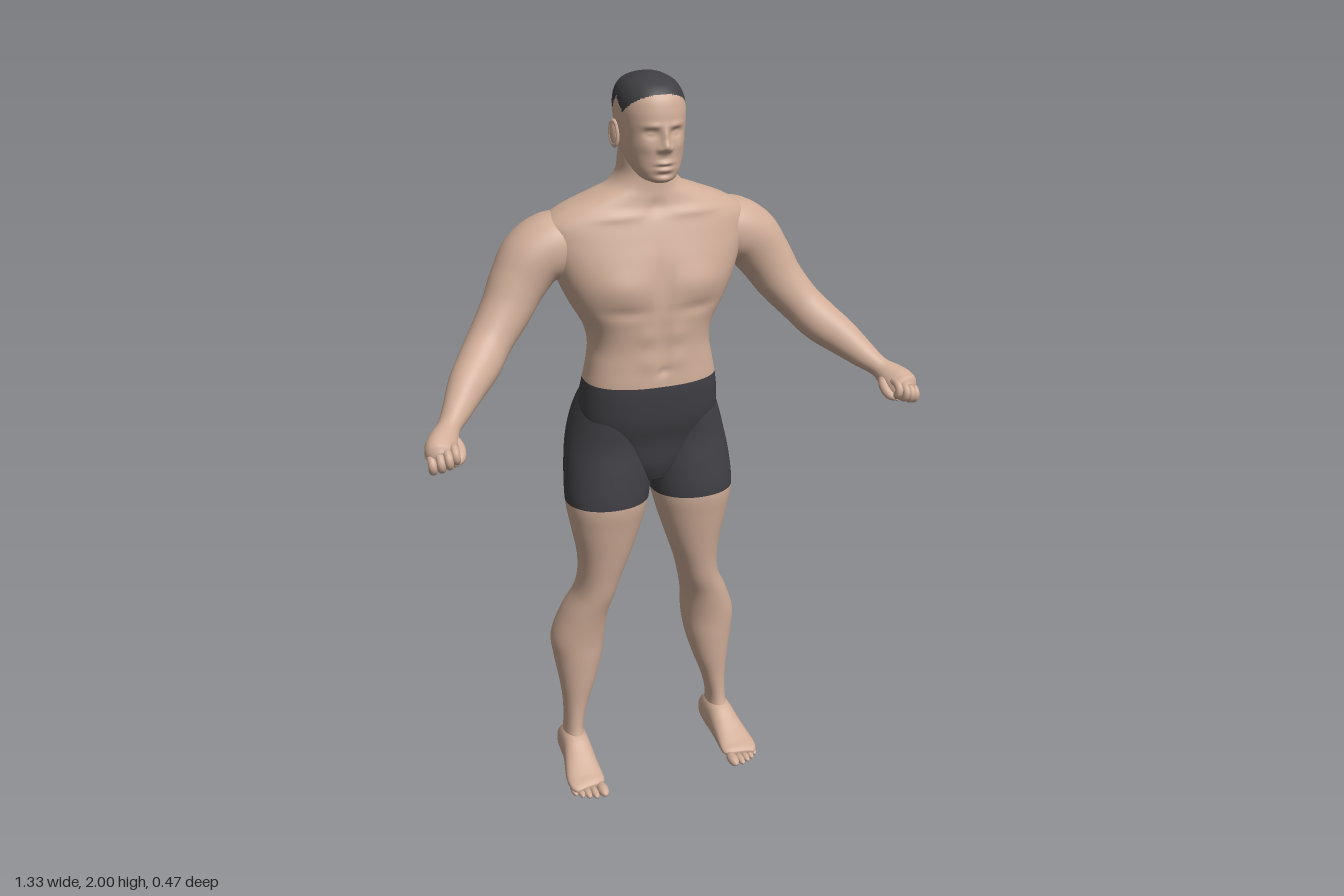
import * as THREE from 'three';

const mat = (name, color) => Object.assign(new THREE.MeshStandardMaterial({ color }), { name });
const SKIN = mat('skin', 0xd0ad98);
const SHORTS = mat('shorts fabric', 0x404045);
const HAIR = mat('hair', 0x3f3f43);

// Smoothly fills in the rows between the given ones (Catmull-Rom on every number)
function refine(rows, per) {
  const out = [];
  const at = i => rows[Math.min(Math.max(i, 0), rows.length - 1)];
  for (let i = 0; i < rows.length - 1; i++) {
    for (let k = 0; k < per; k++) {
      const t = k / per;
      out.push(rows[i].map((b, m) => {
        const a = at(i - 1)[m], c = at(i + 1)[m], d = at(i + 2)[m];
        return b + 0.5 * t * (c - a + t * (2 * a - 5 * b + 4 * c - d + t * (3 * (b - c) + d - a)));
      }));
    }
  }
  out.push(rows[rows.length - 1]);
  return out;
}

// Closed skin over rings {c, u, v, ru, rv}; p rounds the section, warp(point, s) moves points
function loft(rings, n, p, warp) {
  const pos = [], idx = [];
  const pow = x => Math.sign(x) * Math.abs(x) ** (2 / p);
  for (const r of rings) {
    for (let j = 0; j < n; j++) {
      const a = (j / n) * Math.PI * 2, s = Math.sin(a);
      const q = r.c.clone().addScaledVector(r.u, r.ru * pow(Math.cos(a))).addScaledVector(r.v, r.rv * pow(s));
      if (warp) warp(q, s);
      pos.push(q.x, q.y, q.z);
    }
  }
  const last = rings.length - 1, foot = rings.length * n;
  pos.push(...rings[0].c.toArray(), ...rings[last].c.toArray());
  for (let j = 0; j < n; j++) idx.push(foot, j, (j + 1) % n);
  for (let i = 0; i < last; i++) {
    for (let j = 0; j < n; j++) {
      const a = i * n + j, b = i * n + (j + 1) % n;
      idx.push(a, a + n, b, b, a + n, b + n);
    }
  }
  for (let j = 0; j < n; j++) idx.push(foot + 1, last * n + (j + 1) % n, last * n + j);
  const g = new THREE.BufferGeometry();
  g.setAttribute('position', new THREE.Float32BufferAttribute(pos, 3));
  g.setIndex(idx);
  g.computeVertexNormals();
  return g;
}

// Upright form from rows [y, xMin, xMax, zBack, zFront]
function column(rows, per, n, p, warp) {
  const u = new THREE.Vector3(1, 0, 0), v = new THREE.Vector3(0, 0, 1);
  return loft(refine(rows, per).map(([y, x0, x1, z0, z1]) => ({
    c: new THREE.Vector3((x0 + x1) / 2, y, (z0 + z1) / 2), u, v, ru: (x1 - x0) / 2, rv: (z1 - z0) / 2,
  })), n, p, warp);
}

// Form along a bent path from rows [x, y, z, ru, rv]
function limb(rows, per, n, p, ref, warp) {
  const pts = refine(rows, per);
  const c = pts.map(r => new THREE.Vector3(r[0], r[1], r[2]));
  return loft(pts.map((r, i) => {
    const t = c[Math.min(i + 1, c.length - 1)].clone().sub(c[Math.max(i - 1, 0)]).normalize();
    const v = ref.clone().addScaledVector(t, -ref.dot(t)).normalize();
    return { c: c[i], u: t.clone().cross(v), v, ru: r[3], rv: r[4] };
  }), n, p, warp);
}

// Soft mounds and hollows [x, y, sizeX, sizeY, height], same on both sides
const relief = (front, back) => (q, s) => {
  const sum = list => list.reduce((h, [x, y, sx, sy, a]) =>
    h + a * Math.exp(-(((Math.abs(q.x) - x) / sx) ** 2) - ((q.y - y) / sy) ** 2), 0);
  q.z += s > 0 ? s * sum(front) : s * sum(back);
};

// Sorts the triangles into two material groups by the position of their middle
function paint(g, test) {
  const P = g.attributes.position, I = g.index.array, sets = [[], []];
  for (let i = 0; i < I.length; i += 3) {
    const f = [I[i], I[i + 1], I[i + 2]];
    const mid = k => (P[k](f[0]) + P[k](f[1]) + P[k](f[2])) / 3;
    sets[test(mid('getY'), mid('getZ')) ? 1 : 0].push(...f);
  }
  g.setIndex([...sets[0], ...sets[1]]);
  g.addGroup(0, sets[0].length, 0);
  g.addGroup(sets[0].length, sets[1].length, 1);
  return g;
}

function mirrored(g) {
  const m = g.clone().scale(-1, 1, 1), I = m.index.array;
  for (let i = 0; i < I.length; i += 3) [I[i], I[i + 1]] = [I[i + 1], I[i]];
  return m;
}

// Hairline height along the side of the head, [z, y] from back to front
const HAIRLINE = [[-0.19, 1.842], [-0.142, 1.865], [-0.137, 1.932], [-0.1, 1.91], [-0.075, 1.945], [-0.03, 1.912], [0.03, 1.958], [0.1, 1.965]];
function hairline(z) {
  const i = Math.max(1, HAIRLINE.findIndex(h => h[0] > z));
  const [a, b] = [HAIRLINE[i - 1], HAIRLINE[i]];
  return a[1] + (b[1] - a[1]) * (z - a[0]) / (b[0] - a[0]);
}

export function createModel() {
  const model = new THREE.Group();
  const Y = new THREE.Vector3(0, 1, 0), Z = new THREE.Vector3(0, 0, 1);
  const add = (name, g, m) => {
    const mesh = new THREE.Mesh(g, m);
    mesh.name = name;
    model.add(mesh);
  };
  const pair = (name, g, m) => {
    add('left ' + name, g, m);
    add('right ' + name, mirrored(g), m);
  };

  // Torso and neck: rows [y, half width, back, front]
  const torso = [
    [0.92, 0.05, -0.12, -0.01], [0.97, 0.1, -0.16, 0.008], [1.04, 0.165, -0.195, 0.018], [1.1, 0.19, -0.21, 0.034],
    [1.16, 0.188, -0.203, 0.042], [1.21, 0.18, -0.193, 0.045], [1.26, 0.17, -0.186, 0.042], [1.31, 0.163, -0.193, 0.04],
    [1.36, 0.174, -0.206, 0.042], [1.42, 0.208, -0.216, 0.045], [1.48, 0.236, -0.224, 0.042], [1.54, 0.258, -0.228, 0.032],
    [1.59, 0.272, -0.224, 0.016], [1.635, 0.272, -0.214, 0], [1.67, 0.225, -0.199, -0.014], [1.7, 0.15, -0.186, -0.02],
    [1.72, 0.1, -0.177, -0.022], [1.75, 0.075, -0.168, -0.022], [1.79, 0.069, -0.163, -0.02], [1.83, 0.066, -0.158, -0.02],
  ].map(([y, w, b, f]) => [y, -w, w, b, f]);
  const muscles = relief(
    [[0.11, 1.48, 0.075, 0.045, 0.012], [0.1, 1.415, 0.06, 0.014, -0.006], [0, 1.49, 0.014, 0.07, -0.01],
      [0, 1.33, 0.012, 0.08, -0.005], [0.04, 1.35, 0.026, 0.025, 0.004], [0.04, 1.28, 0.026, 0.025, 0.004],
      [0, 1.25, 0.009, 0.01, -0.008], [0.11, 1.655, 0.07, 0.012, 0.006], [0, 1.67, 0.018, 0.02, -0.008]],
    [[0, 1.44, 0.024, 0.18, -0.02], [0.1, 1.56, 0.06, 0.075, 0.012], [0.05, 1.27, 0.03, 0.06, 0.006]]);
  add('torso', paint(column(torso, 6, 96, 2.4, muscles), y => y < 1.21), [SKIN, SHORTS]);

  // Head with face and short hair
  const head = [
    [1.744, 0.022, -0.005, 0.03], [1.753, 0.043, -0.05, 0.04], [1.775, 0.06, -0.09, 0.045], [1.8, 0.07, -0.13, 0.047],
    [1.83, 0.077, -0.157, 0.048], [1.86, 0.081, -0.171, 0.048], [1.89, 0.084, -0.179, 0.049], [1.92, 0.085, -0.182, 0.046],
    [1.95, 0.08, -0.178, 0.036], [1.975, 0.066, -0.16, 0.012], [1.99, 0.044, -0.13, -0.018], [1.998, 0.02, -0.095, -0.045],
    [2, 0.004, -0.073, -0.065],
  ].map(([y, w, b, f]) => [y, -w, w, b, f]);
  const face = relief(
    [[0, 1.836, 0.011, 0.014, 0.02], [0, 1.862, 0.009, 0.02, 0.011], [0.014, 1.83, 0.007, 0.008, 0.008],
      [0.033, 1.868, 0.016, 0.01, -0.012], [0.033, 1.867, 0.01, 0.005, 0.007], [0.03, 1.886, 0.02, 0.007, 0.005],
      [0.045, 1.835, 0.018, 0.016, 0.004], [0, 1.795, 0.02, 0.006, 0.008], [0, 1.778, 0.018, 0.006, 0.007],
      [0, 1.787, 0.022, 0.002, -0.005], [0, 1.766, 0.02, 0.005, -0.004], [0, 1.753, 0.02, 0.01, 0.004]], []);
  add('head', paint(column(head, 7, 128, 2.25, face), (y, z) => y > hairline(z)), [SKIN, HAIR]);

  // Ears: a thin shell with a raised rim
  const earPlace = g => g.rotateY(Math.PI / 2 - 0.3).rotateX(-0.15).translate(0.088, 1.852, -0.077);
  pair('ear', earPlace(new THREE.SphereGeometry(1, 20, 14).scale(0.016, 0.031, 0.007)), SKIN);
  pair('ear rim', earPlace(new THREE.TorusGeometry(0.016, 0.0045, 8, 28).scale(1, 1.75, 1.2)), SKIN);

  // Arms from shoulder to fist
  pair('arm', limb([
    [0.16, 1.595, -0.12, 0.06, 0.08], [0.235, 1.575, -0.12, 0.085, 0.092], [0.297, 1.547, -0.115, 0.082, 0.088],
    [0.343, 1.488, -0.103, 0.073, 0.076], [0.382, 1.425, -0.085, 0.065, 0.067], [0.434, 1.36, -0.055, 0.057, 0.06],
    [0.475, 1.315, -0.015, 0.056, 0.056], [0.517, 1.28, 0.03, 0.049, 0.049], [0.56, 1.24, 0.085, 0.036, 0.036],
    [0.589, 1.215, 0.12, 0.028, 0.03], [0.607, 1.198, 0.145, 0.036, 0.034], [0.62, 1.184, 0.172, 0.043, 0.036],
    [0.626, 1.175, 0.198, 0.04, 0.032], [0.628, 1.172, 0.213, 0.02, 0.018],
  ], 6, 40, 2.1, Z), SKIN);

  // Curled fingers and thumb
  const digit = (points, r) => limb(points.map((q, i) => {
    const k = i === points.length - 1 ? 0.45 : 1;
    return [...q, r * k, r * k];
  }), 5, 12, 2, new THREE.Vector3(1, 0, 0));
  for (let i = 0; i < 4; i++) {
    const x = 0.598 + i * 0.0185, y = 1.186 - i * 0.007, z = [0.216, 0.223, 0.219, 0.208][i];
    pair('finger ' + (i + 1), digit([
      [x, y + 0.008, z - 0.035], [x, y + 0.008, z - 0.008], [x, y - 0.006, z + 0.005],
      [x - 0.002, y - 0.022, z - 0.004], [x - 0.004, y - 0.024, z - 0.026],
    ], 0.0105), SKIN);
  }
  pair('thumb', digit([[0.59, 1.2, 0.145], [0.577, 1.182, 0.172], [0.582, 1.163, 0.198], [0.602, 1.153, 0.212]], 0.0125), SKIN);

  // Legs, the upper part covered by the shorts: rows [y, inner, outer, back, front]
  pair('leg', paint(column([
    [0.03, 0.2, 0.258, -0.16, -0.08], [0.08, 0.198, 0.258, -0.163, -0.055], [0.13, 0.199, 0.253, -0.155, -0.066],
    [0.2, 0.183, 0.253, -0.157, -0.067], [0.27, 0.158, 0.26, -0.172, -0.061], [0.35, 0.135, 0.272, -0.195, -0.055],
    [0.42, 0.124, 0.277, -0.205, -0.05], [0.5, 0.117, 0.249, -0.193, -0.037], [0.57, 0.1, 0.215, -0.172, -0.021],
    [0.63, 0.083, 0.205, -0.16, -0.011], [0.7, 0.058, 0.209, -0.156, 0.002], [0.79, 0.028, 0.227, -0.163, 0.018],
    [0.865, 0.008, 0.239, -0.176, 0.029], [0.95, -0.006, 0.235, -0.202, 0.023], [1.03, -0.01, 0.222, -0.229, 0.014],
    [1.1, -0.006, 0.203, -0.233, 0.015], [1.16, 0.005, 0.18, -0.21, 0.01], [1.2, 0.025, 0.155, -0.18, -0.01],
  ], 6, 56, 2.1), y => y > 0.865), [SKIN, SHORTS]);

  // Feet with a flat sole
  pair('foot', limb([
    [0.228, 0.032, -0.173, 0.015, 0.016], [0.228, 0.042, -0.158, 0.034, 0.04], [0.228, 0.056, -0.12, 0.04, 0.056],
    [0.229, 0.056, -0.08, 0.041, 0.056], [0.232, 0.045, -0.04, 0.045, 0.043], [0.236, 0.033, 0, 0.05, 0.031],
    [0.238, 0.025, 0.035, 0.053, 0.021], [0.237, 0.021, 0.06, 0.05, 0.015], [0.235, 0.019, 0.074, 0.038, 0.008],
  ], 5, 40, 2.4, Y, q => { q.y = Math.max(q.y, 0.004); }), SKIN);

  // Toes: [x, z, half width, half length]
  [[0.203, 0.086, 0.0155, 0.032], [0.227, 0.085, 0.011, 0.029], [0.246, 0.078, 0.0105, 0.027],
    [0.263, 0.069, 0.01, 0.026], [0.279, 0.056, 0.0095, 0.024]].forEach(([x, z, r, l], i) =>
    pair('toe ' + (i + 1), new THREE.SphereGeometry(1, 16, 12).scale(r, r * 0.95, l).translate(x, r, z), SKIN));

  return model;
}
